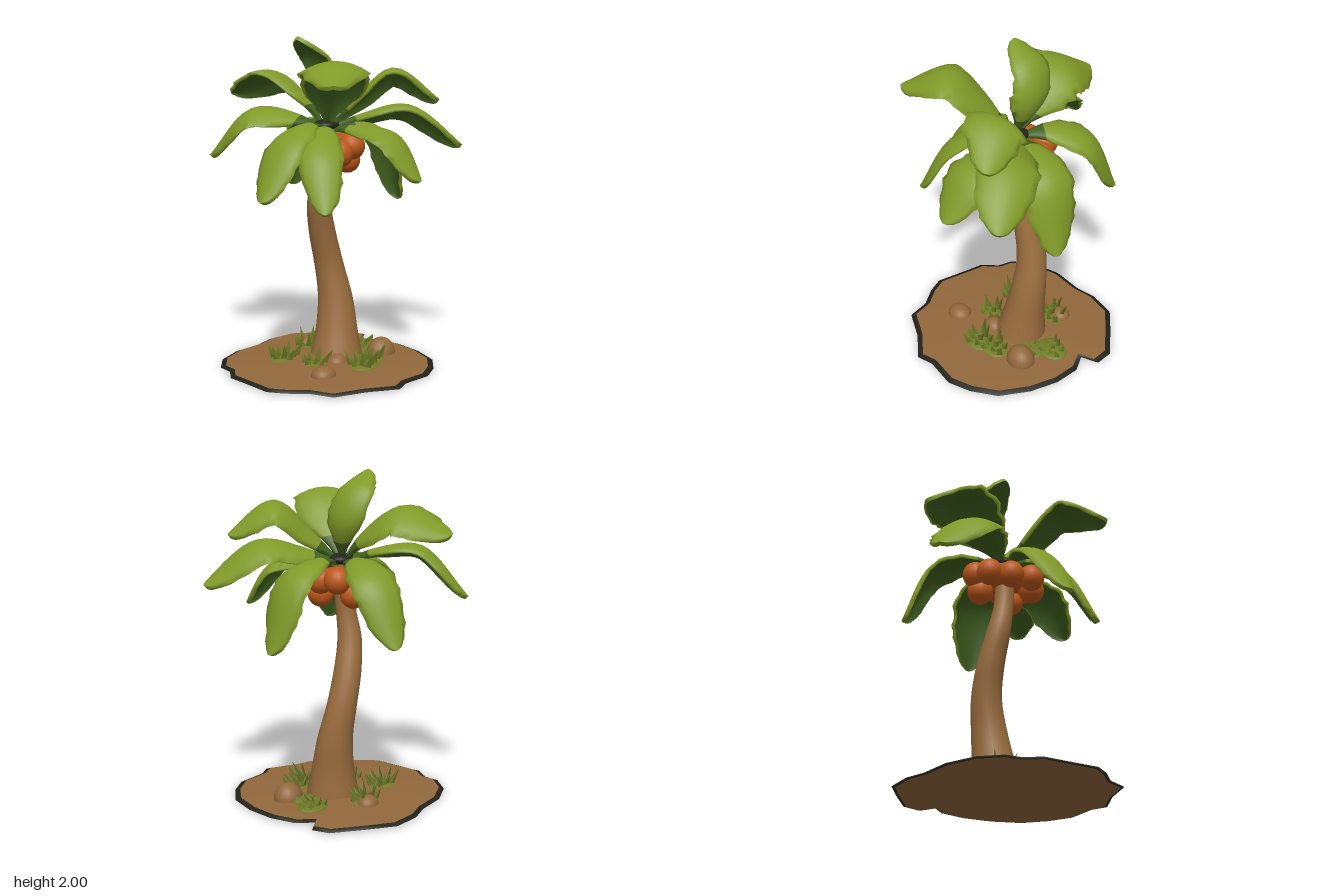
import * as THREE from 'three';
import { mergeVertices } from 'three/addons/utils/BufferGeometryUtils.js';

const mat = (name, color) => Object.assign(new THREE.MeshStandardMaterial({ color }), { name });
const V = (a) => new THREE.Vector3(...a);

let seed = 7;
const rand = () => (seed = (seed * 16807) % 2147483647) / 2147483647;

function add(parent, name, geometry, material, position = [0, 0, 0], scale = [1, 1, 1]) {
  const mesh = new THREE.Mesh(geometry, material);
  mesh.name = name;
  mesh.position.set(...position);
  mesh.scale.set(...scale);
  parent.add(mesh);
  return mesh;
}

// Arched leaf blade along a spine: light top with a curled rim, dark base and underside
function frondGeometry(points, width, roll, heading) {
  const rows = 24, cols = 8;
  const spine = new THREE.CatmullRomCurve3(points.map(V));
  const out = heading ? V(heading) : V(points[3]).sub(V(points[0])).setY(0);
  const flat = out.normalize().cross(new THREE.Vector3(0, 1, 0));
  const pos = [], base = [], light = [], under = [];
  const top = [[-0.88, 1]], bottom = [];
  for (let j = 0; j <= cols; j++) {
    const v = (j / cols) * 2 - 1;
    top.push([v, 0]);
    bottom.push([v * 0.88, 1]);
  }
  top.push([0.88, 1]);
  const ragged = [...Array(rows + 1)].map(() => [rand(), rand()]);
  for (const sheet of [top, bottom]) {
    const start = pos.length / 3, n = sheet.length;
    for (let i = 0; i <= rows; i++) {
      // rows crowd towards the tip so that it rounds off
      const t = Math.sin((i / rows) * Math.PI / 2);
      const c = spine.getPointAt(t), tangent = spine.getTangentAt(t);
      const side = flat.clone().applyAxisAngle(tangent, -roll);
      const normal = side.clone().cross(tangent).normalize();
      const oval = Math.sqrt(Math.max(0, Math.sin(Math.PI * Math.pow(t, 1.3))));
      const w = width * oval * THREE.MathUtils.smoothstep(t, -0.06, 0.36) + 0.014 * (1 - t);
      for (const [v, low] of sheet) {
        const edge = Math.abs(v) > 0.8 && t > 0.25 ? 1.05 - 0.15 * ragged[i][v > 0 ? 1 : 0] : 1;
        const lift = -0.34 * w * v * v - low * (0.01 + 0.018 * v * v);
        const p = c.clone().addScaledVector(side, w * v * edge).addScaledVector(normal, lift);
        pos.push(p.x, p.y, p.z);
      }
    }
    for (let i = 0; i < rows; i++) for (let j = 0; j < n - 1; j++) {
      const a = start + i * n + j, b = a + 1, d = a + n, e = d + 1;
      if (sheet === bottom) under.push(a, d, b, b, d, e);
      else (i < 3 ? base : light).push(a, b, d, b, e, d);
    }
  }
  const g = new THREE.BufferGeometry();
  g.setAttribute('position', new THREE.Float32BufferAttribute(pos, 3));
  g.setIndex([...light, ...base, ...under]);
  g.addGroup(0, light.length, 0);
  g.addGroup(light.length, base.length + under.length, 1);
  g.computeVertexNormals();
  return g;
}

// Leaning trunk: a cylinder whose rings follow stations of [y, x, z, radius]
function trunkGeometry() {
  const stations = [
    [0.02, 0.105, 0.015, 0.165], [0.2, 0.125, 0.0, 0.13], [0.4, 0.14, -0.025, 0.108],
    [0.6, 0.122, -0.06, 0.092], [0.8, 0.07, -0.068, 0.084], [1.0, 0.016, -0.05, 0.073],
    [1.2, 0.01, -0.015, 0.06], [1.46, 0.02, 0, 0.062],
  ];
  const centre = new THREE.CatmullRomCurve3(stations.map(([y, x, z]) => V([x, y, z])), false, 'catmullrom');
  const radius = new THREE.CatmullRomCurve3(stations.map((s) => V([s[3], 0, 0])), false, 'catmullrom');
  let g = new THREE.CylinderGeometry(1, 1, 1, 20, 28, true);
  const p = g.attributes.position;
  for (let i = 0; i < p.count; i++) {
    const t = THREE.MathUtils.clamp(p.getY(i) + 0.5, 0, 1);
    const c = centre.getPoint(t), r = radius.getPoint(t).x;
    p.setXYZ(i, c.x + p.getX(i) * r, c.y, c.z + p.getZ(i) * r);
  }
  g.deleteAttribute('uv');
  g.deleteAttribute('normal');
  g = mergeVertices(g);
  g.computeVertexNormals();
  return g;
}

// Band of ground between scaled copies of the shore outline, rings of [scale, y]
function groundBand(outline, rings) {
  const n = outline.length, pos = [], index = [];
  for (const [s, y] of rings) for (const [x, z] of outline) pos.push(x * s, y, z * s);
  for (let k = 0; k < rings.length - 1; k++) for (let i = 0; i < n; i++) {
    const a = k * n + i, b = k * n + ((i + 1) % n);
    index.push(a, b, a + n, b, b + n, a + n);
  }
  const g = new THREE.BufferGeometry();
  g.setAttribute('position', new THREE.Float32BufferAttribute(pos, 3));
  g.setIndex(index);
  g.computeVertexNormals();
  return g;
}

export function createModel() {
  const model = new THREE.Group();
  model.name = 'palmTree';
  const leaf = mat('leafGreen', 0x809a28), darkLeaf = mat('darkLeafGreen', 0x41611f);
  const bark = mat('barkBrown', 0x996c3d), soil = mat('soilBrown', 0x92683c);
  const black = mat('blackEdge', 0x24241c), orange = mat('fruitOrange', 0xbe581a);
  const grass = mat('grassOlive', 0x717d28);

  // Ground patch, listed from the back going round by the right side to the front
  const outline = [
    [0, -0.56], [-0.2, -0.56], [-0.38, -0.5], [-0.5, -0.39], [-0.52, -0.29], [-0.6, -0.2],
    [-0.61, -0.1], [-0.64, 0.13], [-0.59, 0.23], [-0.5, 0.34], [-0.46, 0.48], [-0.27, 0.56],
    [-0.1, 0.67], [0, 0.635], [0.2, 0.65], [0.34, 0.59], [0.48, 0.48], [0.57, 0.3], [0.61, 0.12],
    [0.6, -0.04], [0.53, -0.14], [0.635, -0.19], [0.62, -0.3], [0.46, -0.45], [0.32, -0.57], [0.14, -0.59],
  ];
  const island = new THREE.Group();
  island.name = 'ground';
  model.add(island);
  add(island, 'soil', groundBand(outline, [[0.95, 0.022], [0.85, 0.028], [0.6, 0.037], [0.3, 0.05], [0, 0.055]]), soil);
  add(island, 'rim', groundBand(outline, [[0.97, 0.004], [1, 0.01], [0.95, 0.022]]), black);
  add(island, 'underside', groundBand(outline, [[0, 0.002], [0.97, 0.004]]), soil);

  // Rounded mounds
  const ball = new THREE.SphereGeometry(1, 20, 14);
  const dome = new THREE.SphereGeometry(1, 20, 8, 0, Math.PI * 2, 0, Math.PI / 2);
  [[0.33, 0.19, 0.095, 0.1], [0.16, -0.27, 0.07, 0.06], [-0.26, 0.23, 0.08, 0.06], [-0.02, 0.13, 0.07, 0.06]]
    .forEach(([x, z, r, h]) => add(island, 'mound', dome, soil, [x, 0.032, z], [r, h, r * 0.9]));

  // Grass tufts: flat turf with broad pointed blades
  const blade = new THREE.ConeGeometry(0.034, 1, 3).translate(0, 0.5, 0);
  [[-0.17, -0.16, 0.14], [0.03, 0.29, 0.13], [0.38, -0.02, 0.07], [0.12, -0.22, 0.14],
    [-0.13, 0.06, 0.11], [0.14, 0.25, 0.11], [0.28, 0.08, 0.05]]
    .forEach(([x, z, h]) => {
      const tuft = new THREE.Group();
      tuft.name = 'grassTuft';
      tuft.position.set(x, 0.037, z);
      island.add(tuft);
      add(tuft, 'turf', dome, grass, [0, 0, 0], [0.11, 0.018, 0.085]);
      for (let k = 0; k < 9; k++) {
        const a = k * 2.4, r = 0.08 * Math.sqrt(k / 9);
        const m = add(tuft, 'blade', blade, grass, [Math.cos(a) * r, 0, Math.sin(a) * r * 0.8], [1, h * (0.55 + 0.45 * rand()), 0.7]);
        m.rotation.set(Math.sin(a) * 0.5, 0, -Math.cos(a) * 0.5);
      }
    });

  add(model, 'trunk', trunkGeometry(), bark);
  add(model, 'crownHub', ball, black, [0.03, 1.475, 0], [0.085, 0.035, 0.075]);

  // Fruit cluster
  add(model, 'fruitCore', ball, orange, [0.03, 1.36, 0], [0.13, 0.07, 0.14]);
  [[-0.13, 1.35, 0.09], [-0.04, 1.32, 0.16], [0.06, 1.36, 0.17], [0.1, 1.27, 0.1], [0.16, 1.36, 0.06],
    [0.18, 1.37, -0.07], [0.1, 1.28, -0.13], [0.08, 1.37, -0.18], [-0.04, 1.35, -0.16], [-0.11, 1.34, -0.05]]
    .forEach((p) => add(model, 'fruit', ball, orange, p, [0.08, 0.082, 0.08]));

  // Fronds: two spine points, tip, half width, roll, and a heading where it curls back
  const hub = [0.03, 1.46, 0];
  const fronds = [
    [[-0.06, 1.68, 0.12], [-0.21, 1.87, 0.27], [-0.44, 1.75, 0.46], 0.2, 0],
    [[0.13, 1.63, 0.14], [0.28, 1.81, 0.3], [0.45, 1.63, 0.52], 0.175, 0.3],
    [[0.2, 1.54, 0.13], [0.4, 1.59, 0.32], [0.62, 1.35, 0.57], 0.175, 0.25],
    [[0.22, 1.5, 0.03], [0.46, 1.41, 0.08], [0.59, 0.98, 0.13], 0.15, 0],
    [[0.1, 1.48, 0.18], [0.14, 1.44, 0.42], [0.16, 1.18, 0.61], 0.165, 0],
    [[0.15, 1.5, -0.18], [0.28, 1.41, -0.38], [0.32, 1.04, -0.55], 0.135, -0.25],
    [[0.02, 1.63, -0.13], [-0.02, 1.78, -0.36], [-0.09, 1.65, -0.67], 0.2, -0.35],
    [[-0.09, 1.54, -0.17], [-0.21, 1.56, -0.41], [-0.28, 1.27, -0.69], 0.19, 0.2],
    [[-0.12, 1.5, 0], [-0.36, 1.41, 0.01], [-0.57, 1.08, 0.03], 0.145, 0],
    [[-0.1, 1.48, 0.09], [-0.3, 1.35, 0.24], [-0.42, 1.03, 0.38], 0.125, 0],
    [[0.14, 1.7, -0.07], [0.08, 1.89, -0.1], [-0.11, 2.0, -0.1], 0.13, 0, [-1, 0, 0]],
  ];
  for (const [p1, p2, tip, width, roll, heading] of fronds) {
    add(model, 'frond', frondGeometry([hub, p1, p2, tip], width, roll, heading), [leaf, darkLeaf]);
  }
  return model;
}
